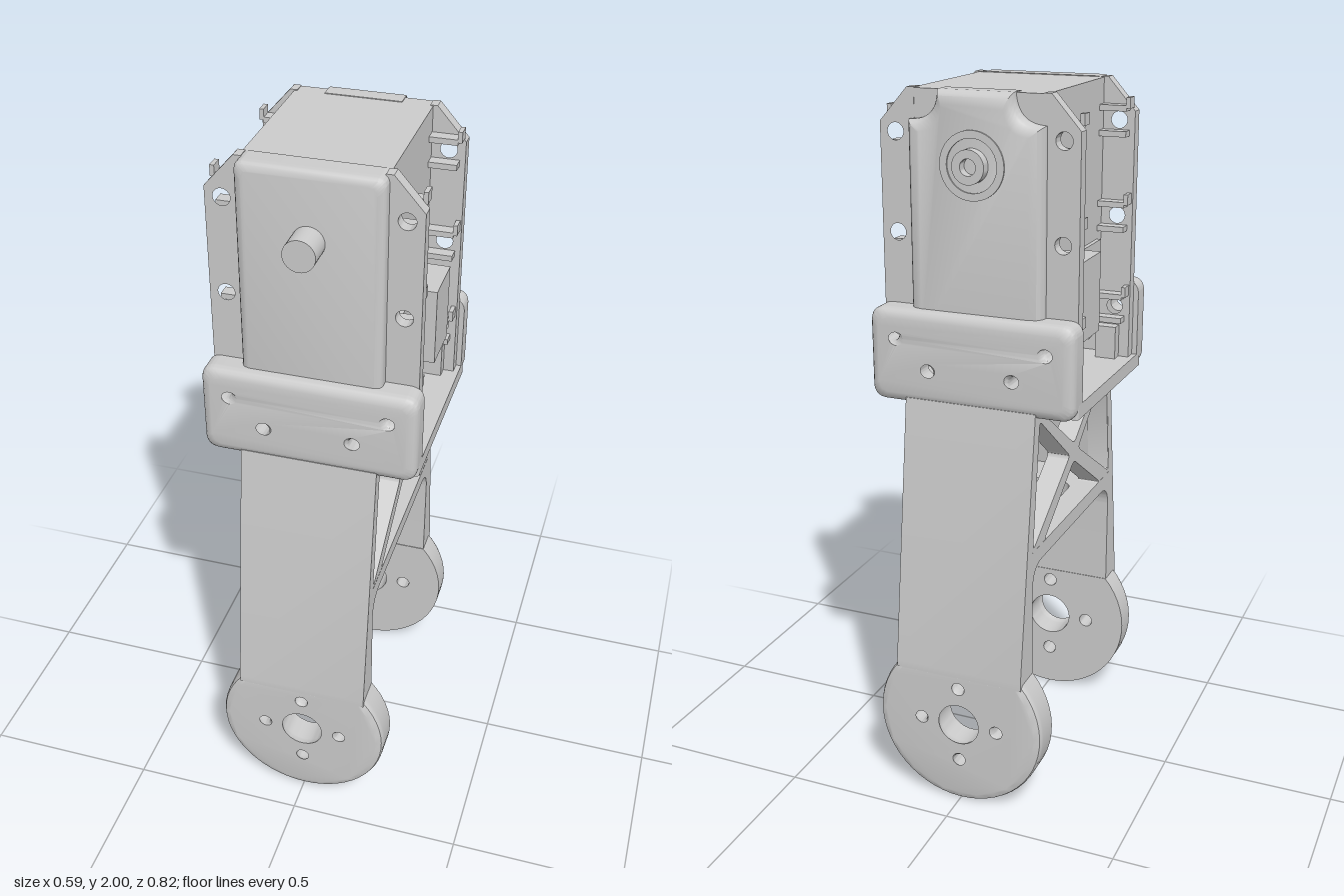
import * as THREE from 'three';
import { toCreasedNormals } from 'three/addons/utils/BufferGeometryUtils.js';

const material = new THREE.MeshStandardMaterial({ color: 0xcccccc });

function add(parent, name, geometry, x = 0, y = 0, z = 0) {
  const mesh = new THREE.Mesh(geometry, material);
  mesh.name = name;
  mesh.position.set(x, y, z);
  parent.add(mesh);
  return mesh;
}

const box = (w, h, d) => new THREE.BoxGeometry(w, h, d);

// Closed polygon with its corners softened by r
function poly(points, r = 0, PathType = THREE.Shape) {
  const path = new PathType();
  const pts = points.map(([x, y]) => new THREE.Vector2(x, y));
  pts.forEach((p, i) => {
    const prev = pts[(i + pts.length - 1) % pts.length];
    const next = pts[(i + 1) % pts.length];
    const a = p.clone().add(prev.clone().sub(p).setLength(r));
    const b = p.clone().add(next.clone().sub(p).setLength(r));
    if (i === 0) path.moveTo(a.x, a.y);
    else path.lineTo(a.x, a.y);
    if (r > 0) path.quadraticCurveTo(p.x, p.y, b.x, b.y);
  });
  path.closePath();
  return path;
}

const rect = (w, h, r, PathType) =>
  poly([[-w, -h], [w, -h], [w, h], [-w, h]], r, PathType);

const hole = (x, y, r) => new THREE.Path().absarc(x, y, r, 0, Math.PI * 2, true);

// Extrusion centred on z; the +z rim is rounded by shrinking the last layers
function extrude(shape, depth, fillet = 0, halfW = 1, halfH = 1) {
  const g = new THREE.ExtrudeGeometry(shape, {
    depth, bevelEnabled: false, curveSegments: 20, steps: fillet ? 12 : 1,
  });
  g.translate(0, 0, -depth / 2);
  if (!fillet) return toCreasedNormals(g, 0.6);
  const p = g.attributes.position;
  for (let i = 0; i < p.count; i++) {
    const t = Math.min(fillet, Math.max(0, p.getZ(i) - depth / 2 + fillet));
    const inset = fillet - Math.sqrt(fillet * fillet - t * t);
    p.setX(i, p.getX(i) * (1 - inset / halfW));
    p.setY(i, p.getY(i) * (1 - inset / halfH));
  }
  return toCreasedNormals(g, 0.6);
}

const alongX = (g) => g.rotateY(-Math.PI / 2); // shape x becomes z
const alongY = (g) => g.rotateX(Math.PI / 2); // shape y becomes z

// One bracket side: leg, round horn pad and upper mounting plate
function bracketSide(name) {
  const side = new THREE.Group();
  side.name = name;

  const leg = new THREE.Shape();
  leg.moveTo(0.41, 0.4);
  leg.lineTo(0.41, 0.42);
  leg.lineTo(0.308, 1.18);
  leg.lineTo(0.275, 1.18);
  leg.lineTo(0.322, 0.785);
  leg.lineTo(0.25, 0.785);
  leg.lineTo(0.25, 0.74);
  leg.quadraticCurveTo(0.32, 0.74, 0.32, 0.67);
  leg.lineTo(0.32, 0.4);
  leg.closePath();
  add(side, 'leg', alongX(extrude(leg, 0.38)));

  const a = Math.asin(0.163 / 0.25);
  const pad = new THREE.Shape();
  pad.absarc(0, 0, 0.25, Math.PI - a, Math.PI * 2 + a, false);
  pad.closePath();
  pad.holes.push(hole(0, 0, 0.067));
  for (let i = 0; i < 4; i++) {
    const t = i * Math.PI / 2;
    pad.holes.push(hole(0.125 * Math.cos(t), 0.125 * Math.sin(t), 0.021));
  }
  add(side, 'hornPad', extrude(pad, 0.092, 0.02, 0.25, 0.25), 0, 0.25, 0.364);

  const plate = rect(0.295, 0.13, 0.04);
  for (const s of [-1, 1]) {
    plate.holes.push(hole(s * 0.235, 0.06, 0.023), hole(s * 0.133, -0.04, 0.023));
  }
  add(side, 'mountingPlate', extrude(plate, 0.075, 0.025, 0.295, 0.13), 0, 1.295, 0.2725);
  return side;
}

// Flanges and lugs on one end of the motor housing
function housingEnd(name) {
  const end = new THREE.Group();
  end.name = name;
  for (const s of [-1, 1]) {
    const flange = poly([[s * 0.18, 1.2], [s * 0.28, 1.2], [s * 0.28, 1.91], [s * 0.2, 2], [s * 0.18, 2]]);
    for (const y of [1.355, 1.62, 1.885]) {
      flange.holes.push(hole(s * 0.235, y, 0.023));
      for (const dy of [-0.035, 0.035]) {
        add(end, 'screwLug', box(0.08, 0.016, 0.036), s * 0.225, y + dy, 0.184);
      }
      add(end, 'lugLip', box(0.012, 0.03, 0.036), s * 0.27, y + 0.05, 0.184);
    }
    add(end, 'flange', extrude(flange, 0.036), 0, 0, 0.218);
    add(end, 'flangeFoot', box(0.06, 0.1, 0.035), s * 0.22, 1.25, 0.184);
  }
  return end;
}

export function createModel() {
  const model = new THREE.Group();
  model.name = 'servoLegSegment';

  // Bracket
  const bracket = new THREE.Group();
  bracket.name = 'bracket';
  model.add(bracket);
  bracket.add(bracketSide('frontSide'));
  const backSide = bracketSide('backSide');
  backSide.rotation.y = Math.PI;
  bracket.add(backSide);

  const floor = rect(0.295, 0.27, 0.01);
  floor.holes.push(rect(0.12, 0.17, 0.03, THREE.Path));
  add(bracket, 'floorPlate', alongY(extrude(floor, 0.04)), 0, 1.185, 0);

  const crossbar = rect(0.19, 0.255, 0);
  crossbar.holes.push(rect(0.12, 0.19, 0.05, THREE.Path));
  add(bracket, 'crossbar', alongY(extrude(crossbar, 0.045)), 0, 0.7625, 0);

  // Cross-braced side panels
  const truss = poly([[-0.33, 0.76], [0.33, 0.76], [0.285, 1.18], [-0.285, 1.18]]);
  truss.holes.push(
    poly([[-0.25, 1.165], [0.25, 1.165], [0, 0.993]], 0.02, THREE.Path),
    poly([[-0.235, 0.785], [0.235, 0.785], [0, 0.94]], 0.02, THREE.Path),
  );
  for (const s of [-1, 1]) {
    truss.holes.push(poly([[s * 0.273, 1.15], [s * 0.318, 0.79], [s * 0.035, 0.967]], 0.02, THREE.Path));
  }
  for (const s of [-1, 1]) {
    add(bracket, 'trussPanel', alongX(extrude(truss, 0.065)), s * 0.157, 0, 0);
  }

  // Motor housing
  const motor = new THREE.Group();
  motor.name = 'motor';
  model.add(motor);
  add(motor, 'housing', alongX(extrude(rect(0.235, 0.35, 0), 0.376)), 0, 1.648, 0);
  motor.add(housingEnd('frontEnd'));
  const backEnd = housingEnd('backEnd');
  backEnd.rotation.y = Math.PI;
  motor.add(backEnd);
  add(motor, 'frontCap', extrude(rect(0.19, 0.35, 0.025), 0.075, 0.02, 0.19, 0.35), 0, 1.65, 0.238);

  // Back cap: full-width face with a narrower raised tab on top
  const back = new THREE.Shape();
  back.moveTo(-0.19, -0.35);
  back.lineTo(0.19, -0.35);
  back.lineTo(0.19, 0.27);
  back.quadraticCurveTo(0.11, 0.27, 0.105, 0.35);
  back.lineTo(-0.105, 0.35);
  back.quadraticCurveTo(-0.11, 0.27, -0.19, 0.27);
  back.closePath();
  add(motor, 'backCap', extrude(back, 0.075, 0.035, 0.19, 0.35), 0, 1.65, -0.238).rotation.y = Math.PI;

  // Output shaft and rear idler
  const shaft = new THREE.CylinderGeometry(0.043, 0.043, 0.09, 32).rotateX(Math.PI / 2);
  add(motor, 'outputShaft', shaft, 0, 1.815, 0.307);
  const boss = new THREE.Shape().absarc(0, 0, 0.09, 0, Math.PI * 2, false);
  boss.holes.push(hole(0, 0, 0.07));
  add(motor, 'idlerRing', extrude(boss, 0.01), 0, 1.815, -0.275);
  const idler = new THREE.Shape().absarc(0, 0, 0.045, 0, Math.PI * 2, false);
  idler.holes.push(hole(0, 0, 0.022));
  add(motor, 'idlerShaft', extrude(idler, 0.04), 0, 1.815, -0.284);

  // Cable connectors on both flanks
  for (const s of [-1, 1]) {
    add(motor, 'connector', box(0.08, 0.22, 0.15), s * 0.222, 1.452, -0.09);
    add(motor, 'connectorPanel', box(0.02, 0.205, 0.18), s * 0.19, 1.452, 0.075);
  }
  return model;
}
